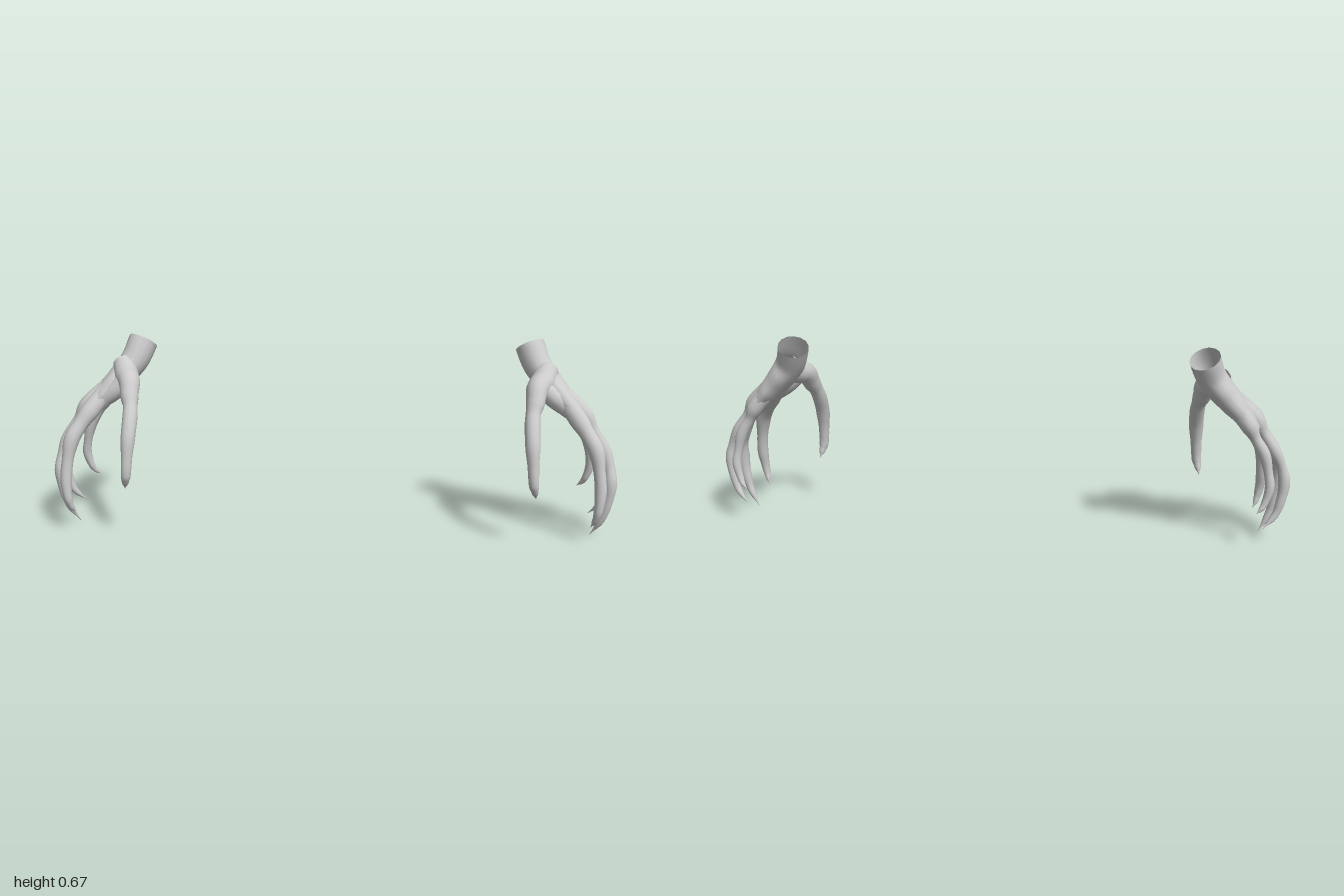
import * as THREE from 'three';

const skin = new THREE.MeshStandardMaterial({ color: 0xcccccc, side: THREE.DoubleSide });
const SIDES = 14, STEPS = 4;

// Skins a run of oval sections [x, y, z, halfWidth, halfThickness]; widthAxis points along the width.
function loft(name, sections, widthAxis, mirror) {
  const path = new THREE.CatmullRomCurve3(
    sections.map(([x, y, z]) => new THREE.Vector3(x * mirror, y, z)));
  const spans = sections.length - 1, rows = spans * STEPS;
  const position = [], index = [];
  for (let i = 0; i <= rows; i++) {
    const t = i / rows, k = Math.min(Math.floor(t * spans), spans - 1), f = t * spans - k;
    const ease = f * f * (3 - 2 * f);
    const size = (n) => THREE.MathUtils.lerp(
      sections[k][n] ?? sections[k][3], sections[k + 1][n] ?? sections[k + 1][3], ease);
    const w = size(3), h = size(4);
    const c = path.getPoint(t), dir = path.getTangent(t);
    const u = widthAxis.clone().addScaledVector(dir, -widthAxis.dot(dir)).normalize();
    const v = new THREE.Vector3().crossVectors(dir, u);
    for (let j = 0; j < SIDES; j++) {
      const a = (j / SIDES) * Math.PI * 2;
      const p = c.clone().addScaledVector(u, Math.cos(a) * w).addScaledVector(v, Math.sin(a) * h);
      position.push(p.x, p.y, p.z);
      if (i < rows) {
        const a0 = i * SIDES + j, b0 = i * SIDES + (j + 1) % SIDES;
        index.push(a0, b0, a0 + SIDES, b0, b0 + SIDES, a0 + SIDES);
      }
    }
  }
  const geometry = new THREE.BufferGeometry();
  geometry.setAttribute('position', new THREE.Float32BufferAttribute(position, 3));
  geometry.setIndex(index);
  geometry.computeVertexNormals();
  const mesh = new THREE.Mesh(geometry, skin);
  mesh.name = name;
  return mesh;
}

// Open wrist flowing into the broad palm
const palm = [
  [0.69, 0.64, -0.125, 0.059, 0.052],
  [0.713, 0.58, -0.096, 0.059, 0.05],
  [0.75, 0.53, -0.078, 0.074, 0.046],
  [0.788, 0.487, -0.058, 0.09, 0.042],
  [0.825, 0.445, -0.042, 0.096, 0.036],
  [0.86, 0.405, -0.032, 0.088, 0.026],
  [0.875, 0.385, -0.03, 0.06, 0.002],
];

// Knuckled fingers, each narrowing to a hooked claw
const fingers = {
  indexFinger: [
    [0.79, 0.49, -0.01, 0.03], [0.845, 0.415, 0.048, 0.032], [0.875, 0.37, 0.075, 0.026],
    [0.9, 0.325, 0.098, 0.027], [0.915, 0.25, 0.114, 0.02], [0.921, 0.185, 0.124, 0.02],
    [0.916, 0.12, 0.132, 0.015], [0.908, 0.085, 0.126, 0.01], [0.897, 0.057, 0.114, 0.001],
  ],
  middleFinger: [
    [0.8, 0.49, -0.035, 0.03], [0.868, 0.425, -0.003, 0.031], [0.903, 0.37, 0.002, 0.021],
    [0.943, 0.3, 0.016, 0.025], [0.96, 0.245, 0.031, 0.02], [0.966, 0.195, 0.043, 0.023],
    [0.959, 0.12, 0.044, 0.018], [0.943, 0.06, 0.041, 0.013], [0.91, 0.001, 0.027, 0.001],
  ],
  ringFinger: [
    [0.8, 0.49, -0.065, 0.03], [0.868, 0.425, -0.052, 0.029], [0.9, 0.375, -0.046, 0.018],
    [0.94, 0.315, -0.043, 0.022], [0.966, 0.26, -0.04, 0.017], [0.978, 0.21, -0.04, 0.02],
    [0.971, 0.145, -0.045, 0.016], [0.953, 0.09, -0.051, 0.012], [0.915, 0.048, -0.07, 0.001],
  ],
  littleFinger: [
    [0.785, 0.49, -0.1, 0.03], [0.843, 0.42, -0.112, 0.028], [0.868, 0.375, -0.112, 0.018],
    [0.898, 0.325, -0.114, 0.02], [0.915, 0.262, -0.118, 0.015], [0.922, 0.215, -0.124, 0.016],
    [0.91, 0.165, -0.13, 0.012], [0.9, 0.145, -0.137, 0.009], [0.882, 0.127, -0.146, 0.001],
  ],
};

const thumb = [
  [0.745, 0.565, -0.06, 0.04], [0.725, 0.53, -0.01, 0.042], [0.705, 0.518, 0.03, 0.037],
  [0.697, 0.477, 0.065, 0.032], [0.688, 0.44, 0.092, 0.025], [0.685, 0.405, 0.116, 0.026],
  [0.686, 0.345, 0.147, 0.025], [0.69, 0.27, 0.163, 0.019], [0.694, 0.215, 0.167, 0.017],
  [0.699, 0.19, 0.16, 0.012], [0.705, 0.163, 0.146, 0.001],
];

// Web of flesh between thumb and first knuckle
const thumbWeb = [
  [0.715, 0.525, 0.01, 0.028, 0.03], [0.765, 0.48, 0.01, 0.034, 0.033], [0.82, 0.44, 0.02, 0.025, 0.03],
  [0.85, 0.41, 0.04, 0.008, 0.012],
];

function createHand(name, mirror) {
  const hand = new THREE.Group();
  hand.name = name;
  const across = new THREE.Vector3(0, 0, 1), sideways = new THREE.Vector3(1, 0, 0);
  hand.add(loft('palm', palm, across, mirror));
  hand.add(loft('thumbWeb', thumbWeb, across, mirror));
  for (const [part, sections] of Object.entries(fingers)) hand.add(loft(part, sections, across, mirror));
  hand.add(loft('thumb', thumb, sideways, mirror));
  return hand;
}

export function createModel() {
  const model = new THREE.Group();
  model.name = 'clawedHands';
  model.add(createHand('leftHand', 1), createHand('rightHand', -1));
  return model;
}
